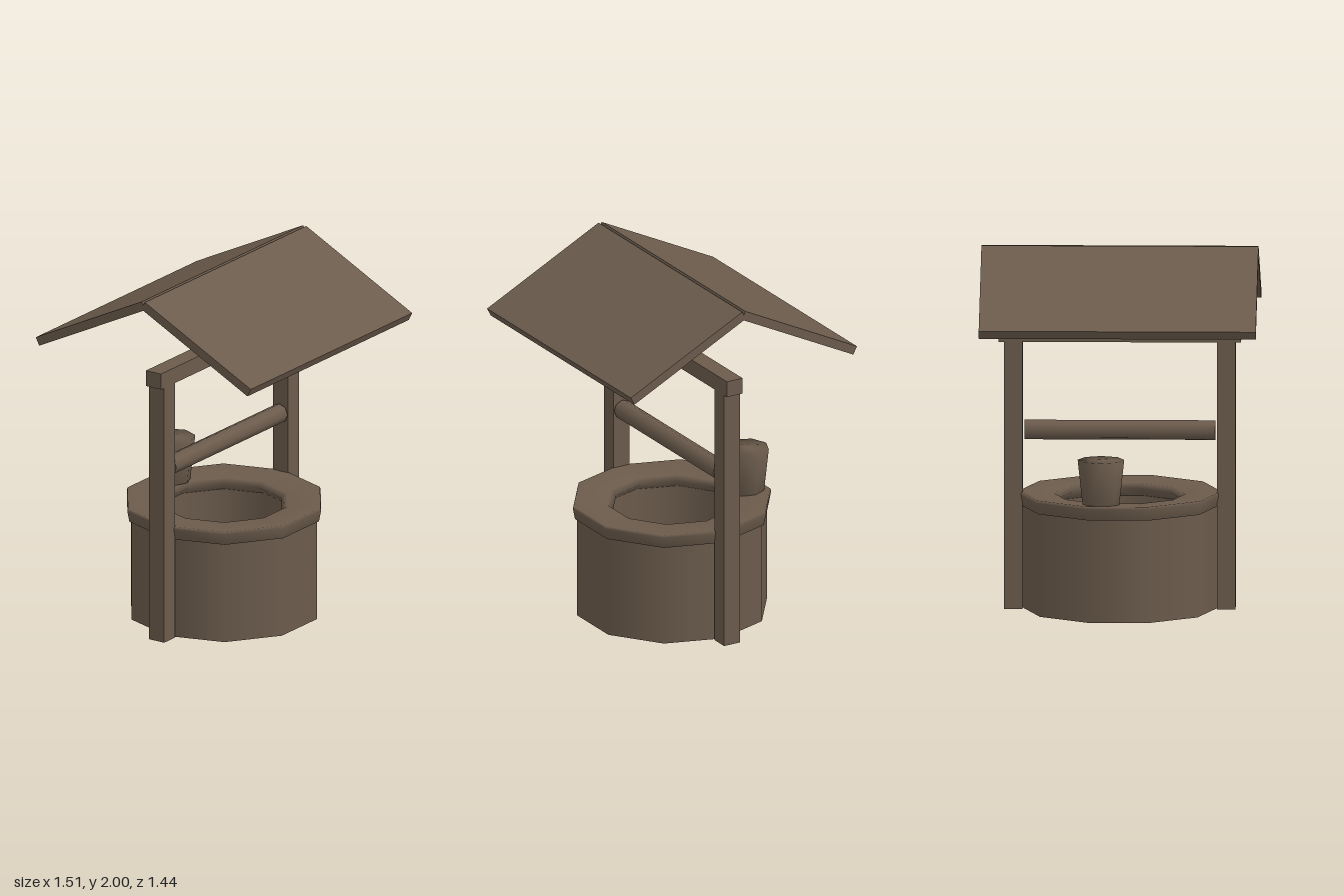
import * as THREE from 'three';
import { mergeVertices } from 'three/addons/utils/BufferGeometryUtils.js';

export function createModel() {
  const group = new THREE.Group();
  const brown = new THREE.MeshStandardMaterial({ color: 0x6b5b4c, side: THREE.DoubleSide });
  brown.name = 'weathered brown';
  const dark = new THREE.MeshStandardMaterial({ color: 0x303030, side: THREE.DoubleSide });
  dark.name = 'dark water';

  function add(name, geometry, x = 0, y = 0, z = 0, material = brown) {
    const mesh = new THREE.Mesh(geometry, material);
    mesh.name = name;
    mesh.position.set(x, y, z);
    group.add(mesh);
    return mesh;
  }

  // Ten-sided ring from a profile, with corners on the x axis
  const ring = (points) => new THREE.LatheGeometry(
    points.map(([r, y]) => new THREE.Vector2(r, y)), 10, Math.PI / 2);

  // Shares normals across every edge for a soft shaded look
  function soften(geometry) {
    geometry.deleteAttribute('normal');
    geometry.deleteAttribute('uv');
    const merged = mergeVertices(geometry, 1e-4);
    merged.computeVertexNormals();
    return merged;
  }

  // Well: outer wall, flared rim, inner lining and water
  add('outerWall', ring([[0.531, 0], [0.531, 0.58]]));
  add('rim', ring([[0.53, 0.568], [0.543, 0.568], [0.555, 0.63], [0.551, 0.645],
    [0.36, 0.632], [0.33, 0.605], [0.38, 0.56]]));
  add('innerLining', ring([[0.38, 0.57], [0.38, 0.01]]));
  add('water', new THREE.CircleGeometry(0.378, 10).rotateX(-Math.PI / 2), 0, 0.03, 0, dark);

  // Frame: two posts, crossbeam and rope roller
  for (const side of [-1, 1]) {
    add(side > 0 ? 'leftPost' : 'rightPost', new THREE.BoxGeometry(0.1, 1.5, 0.1), side * 0.58, 0.75, 0);
  }
  add('crossbeam', new THREE.BoxGeometry(1.32, 0.09, 0.1), 0, 1.52, 0);
  add('roller', new THREE.CylinderGeometry(0.054, 0.054, 1.04, 8).rotateZ(Math.PI / 2), 0, 0.983, 0);

  // Bucket standing on the back of the rim
  add('bucket', soften(new THREE.CylinderGeometry(0.127, 0.1, 0.25, 8)), 0.095, 0.761, -0.415);

  // Roof: two slabs meeting at a notched ridge
  const pitch = Math.atan2(0.355, 0.71);
  for (const side of [-1, 1]) {
    const slab = add(side > 0 ? 'frontRoof' : 'backRoof',
      new THREE.BoxGeometry(1.51, 0.05, 0.794), 0, 1.8, side * 0.354);
    slab.rotation.x = side * pitch;
  }

  return group;
}
